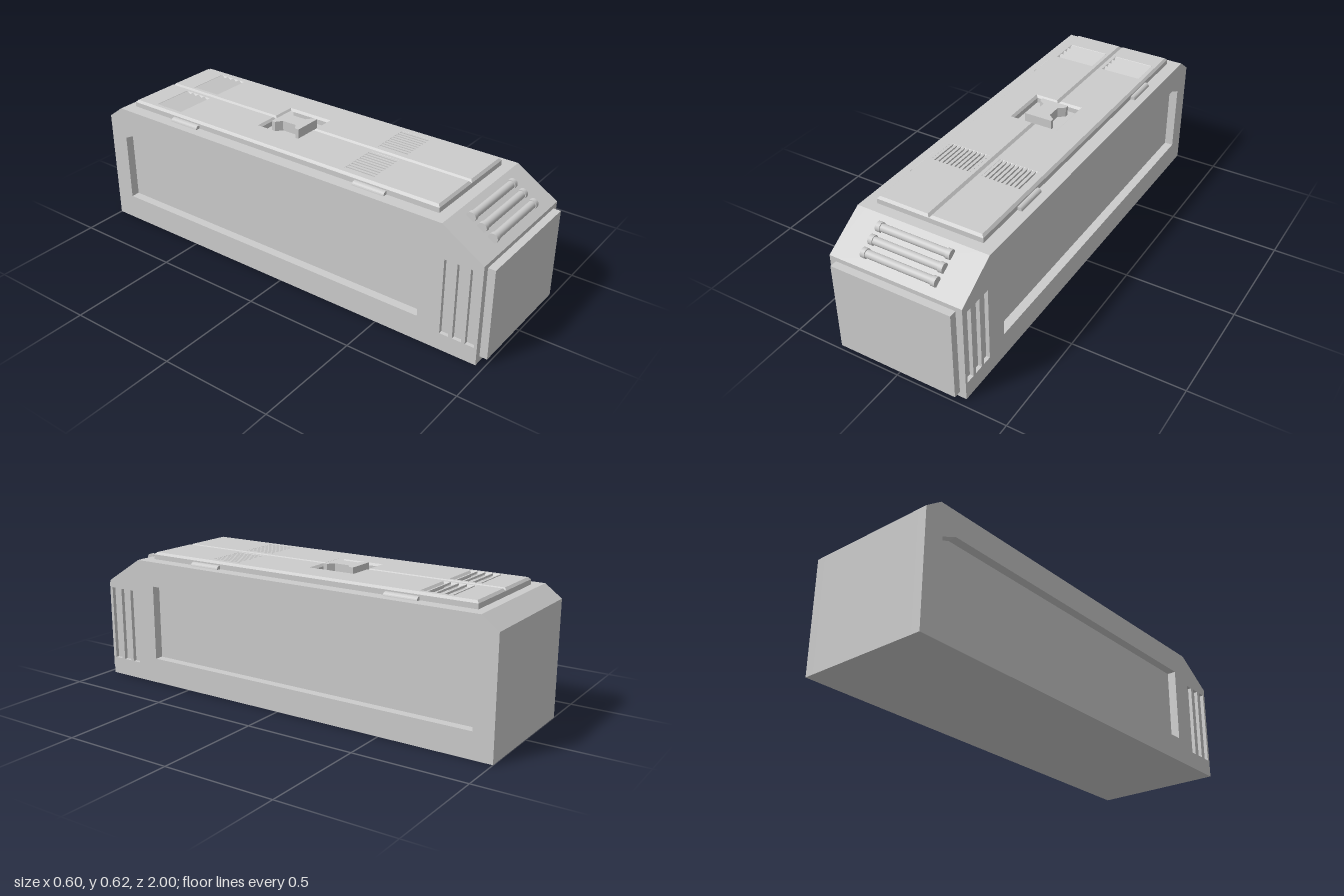
import * as THREE from 'three';

const material = new THREE.MeshStandardMaterial({ color: 0xcccccc, flatShading: true });
const smooth = new THREE.MeshStandardMaterial({ color: 0xcccccc });
const poly = (pts) => new THREE.Shape(pts.map(([x, y]) => new THREE.Vector2(x, y)));
const rect = (x0, x1, y0, y1) => poly([[x0, y0], [x1, y0], [x1, y1], [x0, y1]]);

export function createModel() {
  const model = new THREE.Group();

  function add(name, geometry, x = 0, y = 0, z = 0, mat = material) {
    const mesh = new THREE.Mesh(geometry, mat);
    mesh.name = name;
    mesh.position.set(x, y, z);
    model.add(mesh);
    return mesh;
  }
  const box = (name, w, h, d, x, y, z) => add(name, new THREE.BoxGeometry(w, h, d), x, y, z);

  // Extrudes a side profile, given as (z, y), from x0 to x1
  function sideExtrude(shape, x0, x1) {
    return new THREE.ExtrudeGeometry(shape, { depth: x1 - x0, bevelEnabled: false, curveSegments: 8 })
      .rotateY(-Math.PI / 2).translate(x1, 0, 0);
  }

  // Body: a core between two side skins with recesses cut through them
  const profile = [[0.967, 0], [0.967, 0.452], [0.78, 0.57], [-0.925, 0.57], [-1, 0.515], [-1, 0]];
  const half = 0.302, inner = 0.262;
  const slots = [0.934, 0.877, 0.82];
  add('bodyCore', sideExtrude(poly(profile), -inner, inner));
  for (const s of [-1, 1]) {
    const skin = poly(profile);
    skin.holes.push(poly([[0.695, 0.115], [0.695, 0.457], [-0.84, 0.457], [-0.91, 0.425], [-0.91, 0.115]]));
    for (const z of slots) skin.holes.push(rect(z - 0.02, z + 0.02, 0.078, 0.42));
    add('sideSkin', sideExtrude(skin, s > 0 ? inner : -half, s > 0 ? half : -inner));
    for (const z of slots) box('slotFloor', 0.023, 0.36, 0.046, s * (inner + 0.0115), 0.249, z);
  }

  // Front plate
  box('frontPlate', 0.546, 0.408, 0.04, 0, 0.229, 0.98);

  // Lid doors with bevelled edges, a notch for the latch and two vent openings each
  const vents = { back: [-0.772, -0.627], front: [0.27, 0.41] };
  for (const s of [-1, 1]) {
    const door = poly([
      [0.01, 0.886 - 0.01], [0.234, 0.876], [0.234, -0.723], [0.01, -0.723],
      [0.01, 0.04], [0.115, 0.04], [0.115, 0.262], [0.01, 0.262],
    ].map(([x, y]) => [x * s, y]));
    for (const [z0, z1] of Object.values(vents)) {
      door.holes.push(rect(Math.min(s * 0.026, s * 0.216), Math.max(s * 0.026, s * 0.216), -z1, -z0));
    }
    const geometry = new THREE.ExtrudeGeometry(door, {
      depth: 0.032, bevelEnabled: true, bevelSize: 0.01, bevelThickness: 0.01, bevelSegments: 1,
    }).rotateX(-Math.PI / 2);
    add('lidDoor', geometry, 0, 0.56, 0);

    // Sloping louvres at the back
    for (let i = 0; i < 4; i++) {
      const slat = box('louvre', 0.188, 0.008, 0.034, s * 0.121, 0.593, -0.752 + i * 0.035);
      slat.rotation.x = 0.35;
    }
    // Fine lengthwise fins at the front
    for (let i = 0; i < 10; i++) {
      box('ventFin', 0.013, 0.04, 0.14, s * (0.0335 + i * 0.0195), 0.5815, 0.34);
    }

    // Rounded hinges beside the lid
    for (const z of [0.42, -0.565]) {
      const hinge = new THREE.Shape();
      hinge.moveTo(0, 0);
      hinge.lineTo(s * 0.025, 0);
      hinge.quadraticCurveTo(s * 0.023, 0.016, s * 0.008, 0.017);
      hinge.lineTo(0, 0.017);
      add('hinge', new THREE.ExtrudeGeometry(hinge, { depth: 0.15, bevelEnabled: false, curveSegments: 6 }),
        s * 0.24, 0.569, z - 0.075);
    }
  }

  // Waisted latch standing in the recess
  const latch = poly([
    [-0.065, -0.074], [0.065, -0.074], [0.065, -0.056], [0.036, -0.034], [0.036, 0.034], [0.065, 0.056],
    [0.065, 0.074], [-0.065, 0.074], [-0.065, 0.056], [-0.036, 0.034], [-0.036, -0.034], [-0.065, -0.056],
  ]);
  add('latch', new THREE.ExtrudeGeometry(latch, { depth: 0.046, bevelEnabled: false }).rotateX(-Math.PI / 2),
    0, 0.569, -0.151);

  // Three rods with end caps on the front slope
  for (let i = 0; i < 3; i++) {
    const y = 0.492 + i * 0.029, z = 0.925 - i * 0.049;
    const bar = (r, length) => new THREE.CylinderGeometry(r, r, length, 24).rotateZ(Math.PI / 2);
    add('rod', bar(0.017, 0.31), 0, y, z, smooth);
    for (const s of [-1, 1]) add('rodCap', bar(0.021, 0.02), s * 0.159, y, z, smooth);
  }

  return model;
}
